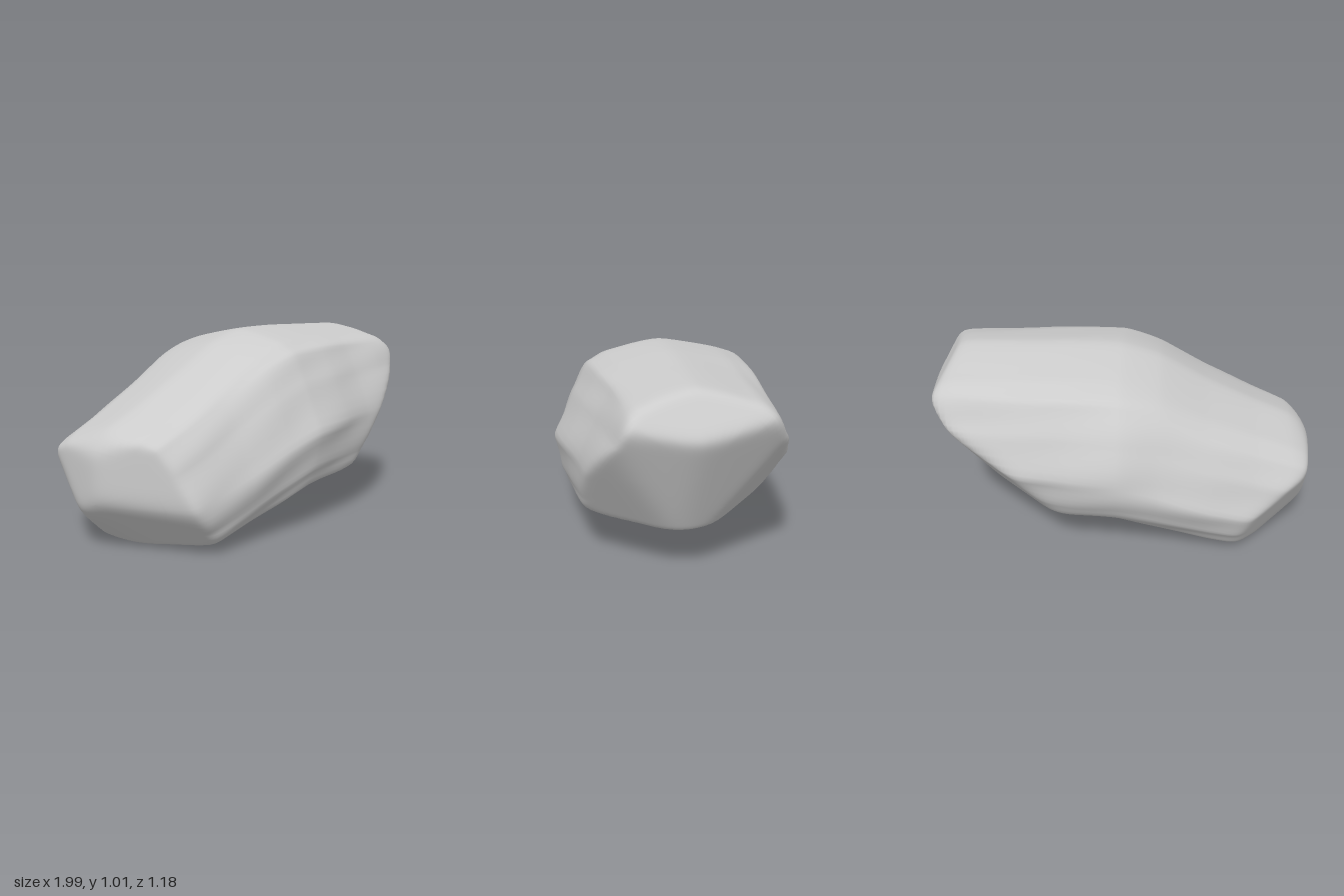
import * as THREE from 'three';

const v = (a, b, c) => new THREE.Vector3(a, b, c);
const CENTRE = v(0, 0.57, 0);

// Bent bar of stone, before its ends are broken off: x, top, bottom, front z, back z
const STATIONS = [
  [-1.1, 0.5, -0.08, 0.44, -0.42], [-0.9, 0.605, -0.05, 0.46, -0.455], [-0.7, 0.69, 0, 0.485, -0.485],
  [-0.45, 0.81, 0.07, 0.515, -0.53], [-0.2, 0.945, 0.15, 0.56, -0.565], [0, 1.005, 0.21, 0.585, -0.595],
  [0.25, 1.01, 0.215, 0.57, -0.565], [0.5, 1.0, 0.225, 0.54, -0.52], [0.75, 0.99, 0.24, 0.525, -0.475],
  [1.1, 0.97, 0.26, 0.5, -0.42],
];

// Unit cross-section (z, y): ridge, front side, underside, back side
const SECTION = [
  [0.05, 1], [0.5, 0.94], [0.69, 0.87], [0.84, 0.68], [1, 0.39], [0.95, 0.15], [0.85, 0.03], [0.4, 0.01],
  [0, 0], [-0.4, 0.01], [-0.76, 0.03], [-0.92, 0.17], [-1, 0.38], [-0.87, 0.64], [-0.7, 0.84], [-0.48, 0.92],
];

// Fracture faces, each a plane through three points
const CUTS = [
  [[-1, 0.3, 0.03], [-1, 0.5, 0.03], [-0.95, 0.4, -0.38]],        // right end
  [[-1, 0.3, 0.05], [-1, 0.5, 0.05], [-0.77, 0.3, 0.47]],         // right end, front corner
  [[-0.99, 0.19, 0.4], [-0.99, 0.19, -0.4], [-0.73, -0.01, 0]],   // right end, lower edge
  [[-0.93, 0.58, 0.3], [-0.93, 0.58, -0.3], [-1.01, 0.49, 0]],    // right end, upper edge
  [[-0.95, 0.5, -0.36], [-0.7, 0.32, -0.49], [-0.72, 0.02, -0.27]], // right end, lower back corner
  [[-0.77, 0.22, 0.44], [-0.6, 0.02, 0.38], [-0.78, 0.02, 0]],    // right end, lower front corner
  [[0.85, 0.975, 0.3], [0.85, 0.975, -0.3], [1, 0.765, 0]],       // left end, upper bevel
  [[1, 0.77, 0.07], [0.75, 0.25, 0.08], [0.91, 0.77, 0.42]],      // left end, front half
  [[1, 0.77, 0.05], [0.75, 0.25, 0.08], [0.9, 0.77, -0.36]],      // left end, back half
  [[0.88, 0.77, 0.48], [0.52, 0.25, 0.38], [0.75, 0.25, 0.12]],   // left end, lower front corner
  [[0.92, 0.77, -0.39], [0.75, 0.25, -0.04], [0.25, 0.22, -0.48]], // left end, lower back corner
].map(points => {
  const [a, b, c] = points.map(p => v(...p).sub(CENTRE));
  const normal = b.sub(a).cross(c.sub(a)).normalize();
  const distance = normal.dot(a);
  return normal.divideScalar(distance * 1.012);
});

// Pull a point towards the centre until it lies inside every cut, with softened edges
function fracture(p) {
  const sharpness = 50;
  const q = p.sub(CENTRE);
  let sum = 1;
  for (const cut of CUTS) sum += Math.max(0, cut.dot(q)) ** sharpness;
  return q.multiplyScalar(sum ** (-1 / sharpness)).add(CENTRE);
}

function buildRock() {
  const spline = (points, closed) => new THREE.CatmullRomCurve3(points, closed, 'catmullrom', 0.3);
  const heights = spline(STATIONS.map(s => v(s[0], s[1], s[2])), false);
  const widths = spline(STATIONS.map(s => v(s[0], s[3], s[4])), false);
  const outline = spline(SECTION.map(([z, y]) => v(0, y, z)), true);

  // Rings along the bar, with shrinking rings that close each end
  const body = 100, cap = 24, sides = 96, rings = body + cap * 2;
  const positions = [], index = [];
  for (let i = 0; i <= rings; i++) {
    const t = THREE.MathUtils.clamp((i - cap) / body, 0, 1);
    const size = Math.min(1, i / cap, (rings - i) / cap);
    const h = heights.getPoint(t), w = widths.getPoint(t);
    const mid = (h.y + h.z) / 2, centre = (w.y + w.z) / 2, half = (w.y - w.z) / 2;
    for (let j = 0; j < sides; j++) {
      const p = outline.getPoint(j / sides), a = j / sides * Math.PI * 2;
      // Long shallow grain running along the stone, strongest on its sides
      const grain = 0.007 * Math.sin(a * 9 + 2 * Math.sin(h.x * 3))
        + 0.007 * Math.sin(a * 17 + h.x * 5) + 0.005 * Math.sin(h.x * 13 + a * 4);
      const k = size * (1 + grain * Math.abs(p.z));
      const y = THREE.MathUtils.lerp(h.z, h.y, p.y);
      const point = fracture(v(h.x, mid + (y - mid) * k, centre + half * p.z * k));
      positions.push(point.x, point.y, point.z);
    }
  }
  for (let i = 0; i < rings; i++) {
    for (let j = 0; j < sides; j++) {
      const a = i * sides + j, c = i * sides + (j + 1) % sides;
      const b = a + sides, d = c + sides;
      index.push(a, c, b, b, c, d);
    }
  }
  const geometry = new THREE.BufferGeometry();
  geometry.setAttribute('position', new THREE.Float32BufferAttribute(positions, 3));
  geometry.setIndex(index);
  geometry.computeVertexNormals();
  return geometry;
}

export function createModel() {
  const group = new THREE.Group();
  group.name = 'boulder';
  const rock = new THREE.Mesh(buildRock(), new THREE.MeshStandardMaterial({ color: 0xcccccc }));
  rock.name = 'rock';
  group.add(rock);
  return group;
}
